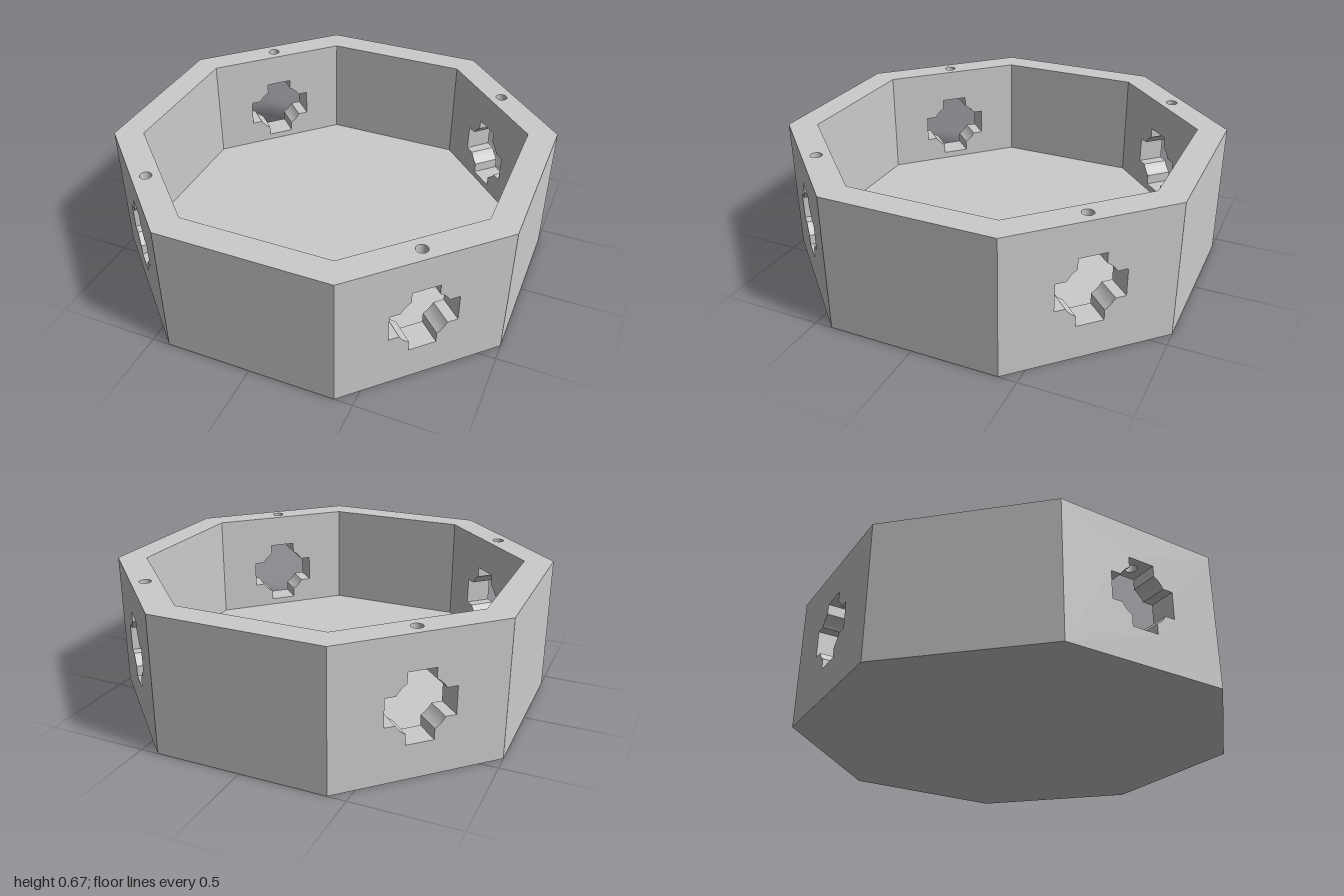
import * as THREE from 'three';
import { toCreasedNormals } from 'three/addons/utils/BufferGeometryUtils.js';

const HEIGHT = 0.667, FLOOR = 0.133;
const OUTER = 1, INNER = 0.867, MID = (OUTER + INNER) / 2; // distances to the wall faces
const ARM = 0.167, ARM_HALF = 0.067, HOLE_R = 0.134, BORE_R = 0.028;

const material = new THREE.MeshStandardMaterial({ color: 0xcccccc });
const doubleMaterial = new THREE.MeshStandardMaterial({ color: 0xcccccc, side: THREE.DoubleSide });

function octagon(apothem) {
  const r = apothem / Math.cos(Math.PI / 8);
  return Array.from({ length: 8 }, (_, i) => {
    const a = (i + 0.5) * Math.PI / 4;
    return new THREE.Vector2(r * Math.cos(a), r * Math.sin(a));
  });
}

// Outline of the round opening with four square arms, counter-clockwise
function crossOutline() {
  const points = [], start = Math.asin(ARM_HALF / HOLE_R), end = Math.PI / 2 - start;
  for (let k = 0; k < 4; k++) {
    const quarter = [new THREE.Vector2(ARM, -ARM_HALF), new THREE.Vector2(ARM, ARM_HALF)];
    for (let i = 0; i <= 4; i++) {
      const a = start + (end - start) * i / 4;
      quarter.push(new THREE.Vector2(HOLE_R * Math.cos(a), HOLE_R * Math.sin(a)));
    }
    for (const p of quarter) {
      p.rotateAround(new THREE.Vector2(), k * Math.PI / 2);
      points.push(p.add(new THREE.Vector2(0, HEIGHT / 2)));
    }
  }
  return points;
}

function circlePath(x, y) {
  return new THREE.Path().absarc(x, y, BORE_R, 0, Math.PI * 2, true);
}

// One flat wall face, with or without the opening
function wallFace(apothem, bottom, open) {
  const w = apothem * Math.tan(Math.PI / 8);
  const shape = new THREE.Shape([
    new THREE.Vector2(-w, bottom), new THREE.Vector2(w, bottom),
    new THREE.Vector2(w, HEIGHT), new THREE.Vector2(-w, HEIGHT),
  ]);
  if (open) shape.holes.push(new THREE.Path(crossOutline()));
  return new THREE.ShapeGeometry(shape);
}

// Sides of the opening through the wall; the top arm's ceiling is separate
function tunnel() {
  const pts = crossOutline(), pos = [], top = HEIGHT / 2 + ARM - 1e-4;
  pts.forEach((p, i) => {
    const q = pts[(i + 1) % pts.length];
    if (p.y > top && q.y > top) return;
    pos.push(p.x, p.y, OUTER, q.x, q.y, OUTER, q.x, q.y, INNER);
    pos.push(p.x, p.y, OUTER, q.x, q.y, INNER, p.x, p.y, INNER);
  });
  const geo = new THREE.BufferGeometry();
  geo.setAttribute('position', new THREE.Float32BufferAttribute(pos, 3));
  return toCreasedNormals(geo, 0.4);
}

// Ceiling of the top arm, pierced by the screw bore
function ceiling() {
  const h = ARM_HALF, d = (OUTER - INNER) / 2;
  const shape = new THREE.Shape([
    new THREE.Vector2(-h, -d), new THREE.Vector2(h, -d),
    new THREE.Vector2(h, d), new THREE.Vector2(-h, d),
  ]);
  shape.holes.push(circlePath(0, 0));
  return new THREE.ShapeGeometry(shape, 16).rotateX(Math.PI / 2)
    .translate(0, HEIGHT / 2 + ARM, MID);
}

export function createModel() {
  const model = new THREE.Group();
  model.name = 'octagonalTray';
  const add = (parent, name, geometry, mat = material) => {
    const mesh = new THREE.Mesh(geometry, mat);
    mesh.name = name;
    parent.add(mesh);
  };

  // Underside and inner floor
  const slab = (a) => new THREE.ShapeGeometry(new THREE.Shape(octagon(a)));
  add(model, 'underside', slab(OUTER).rotateX(Math.PI / 2));
  add(model, 'floor', slab(INNER).rotateX(-Math.PI / 2).translate(0, FLOOR, 0));

  // Top rim with four screw holes
  const rim = new THREE.Shape(octagon(OUTER));
  rim.holes.push(new THREE.Path(octagon(INNER)));
  for (let k = 0; k < 4; k++) {
    const a = Math.PI / 4 + k * Math.PI / 2;
    rim.holes.push(circlePath(MID * Math.cos(a), MID * Math.sin(a)));
  }
  add(model, 'rim', new THREE.ShapeGeometry(rim, 16).rotateX(-Math.PI / 2).translate(0, HEIGHT, 0));

  // Eight walls; every diagonal one has an opening and a bore above it
  const boreLength = HEIGHT / 2 - ARM;
  for (let k = 0; k < 8; k++) {
    const open = k % 2 === 1;
    const wall = new THREE.Group();
    wall.name = open ? 'openWall' : 'plainWall';
    wall.rotation.y = k * Math.PI / 4;
    add(wall, 'outerFace', wallFace(OUTER, 0, open).translate(0, 0, OUTER));
    add(wall, 'innerFace', wallFace(INNER, FLOOR, open).rotateY(Math.PI).translate(0, 0, INNER));
    if (open) {
      add(wall, 'openingSides', tunnel());
      add(wall, 'openingCeiling', ceiling());
      add(wall, 'screwBore', new THREE.CylinderGeometry(BORE_R, BORE_R, boreLength, 32, 1, true)
        .translate(0, HEIGHT - boreLength / 2, MID), doubleMaterial);
    }
    model.add(wall);
  }
  return model;
}
